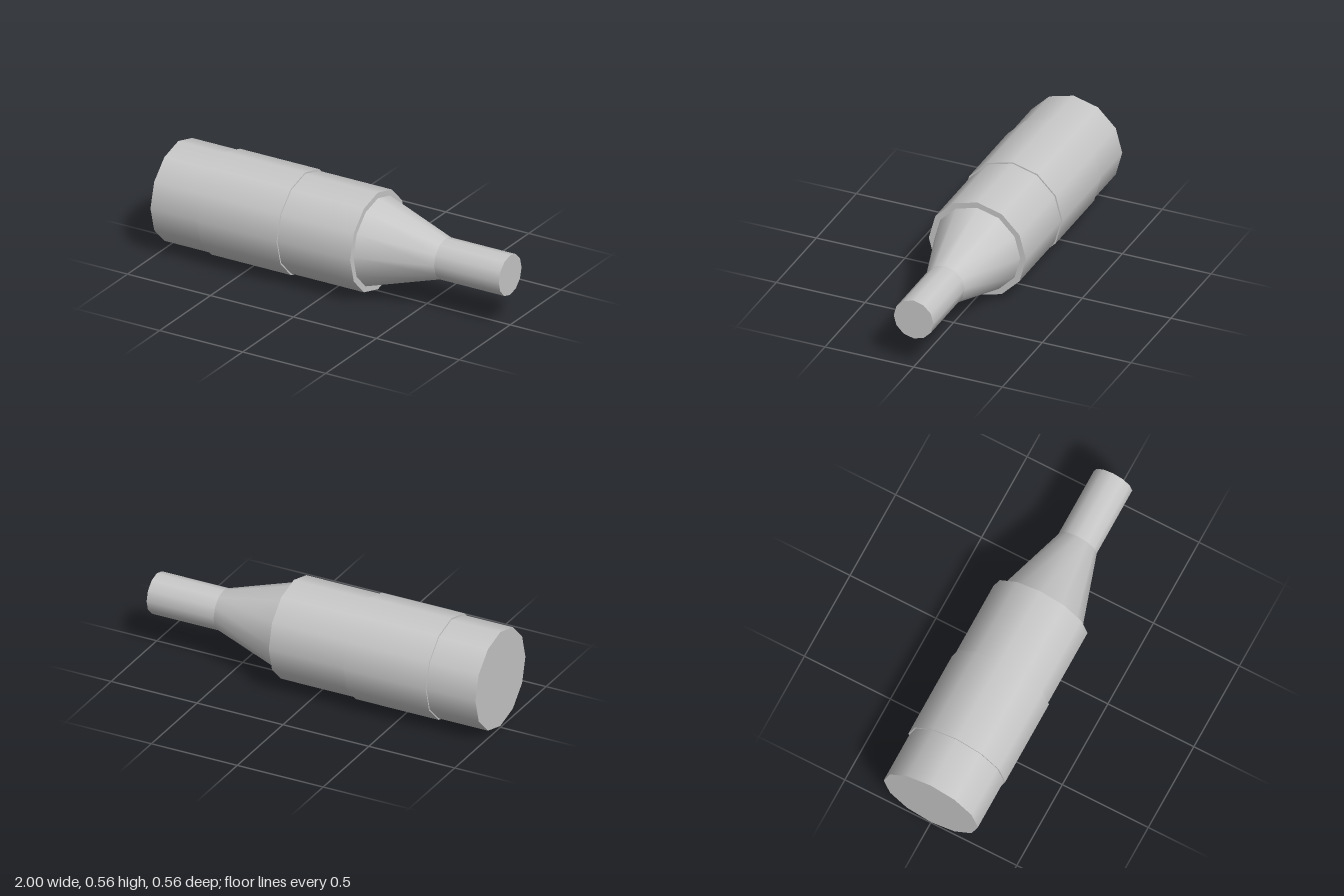
import * as THREE from 'three';

const SIDES = 12;
const AXIS_Y = 0.282;

export function createModel() {
  const group = new THREE.Group();
  const grey = new THREE.MeshStandardMaterial({ color: 0xc8c8c8 });
  grey.name = 'light grey';

  // Round section lying along x, from x0 (radius r0) to x1 (radius r1)
  function section(name, x0, x1, r0, r1 = r0, open = false) {
    const geometry = new THREE.CylinderGeometry(r1, r0, x1 - x0, SIDES, 1, open);
    geometry.rotateZ(-Math.PI / 2);
    const mesh = new THREE.Mesh(geometry, grey);
    mesh.name = name;
    mesh.position.set((x0 + x1) / 2, AXIS_Y, 0);
    group.add(mesh);
  }

  // Main barrel with a slightly raised grip band
  section('barrel', -1, 0.203, 0.274);
  section('gripBand', -0.715, -0.235, 0.282);

  // Tapered neck leading to a slim straight tip
  section('taperedNeck', 0.203, 0.61, 0.242, 0.112, true);
  section('tip', 0.61, 1, 0.112);

  return group;
}
